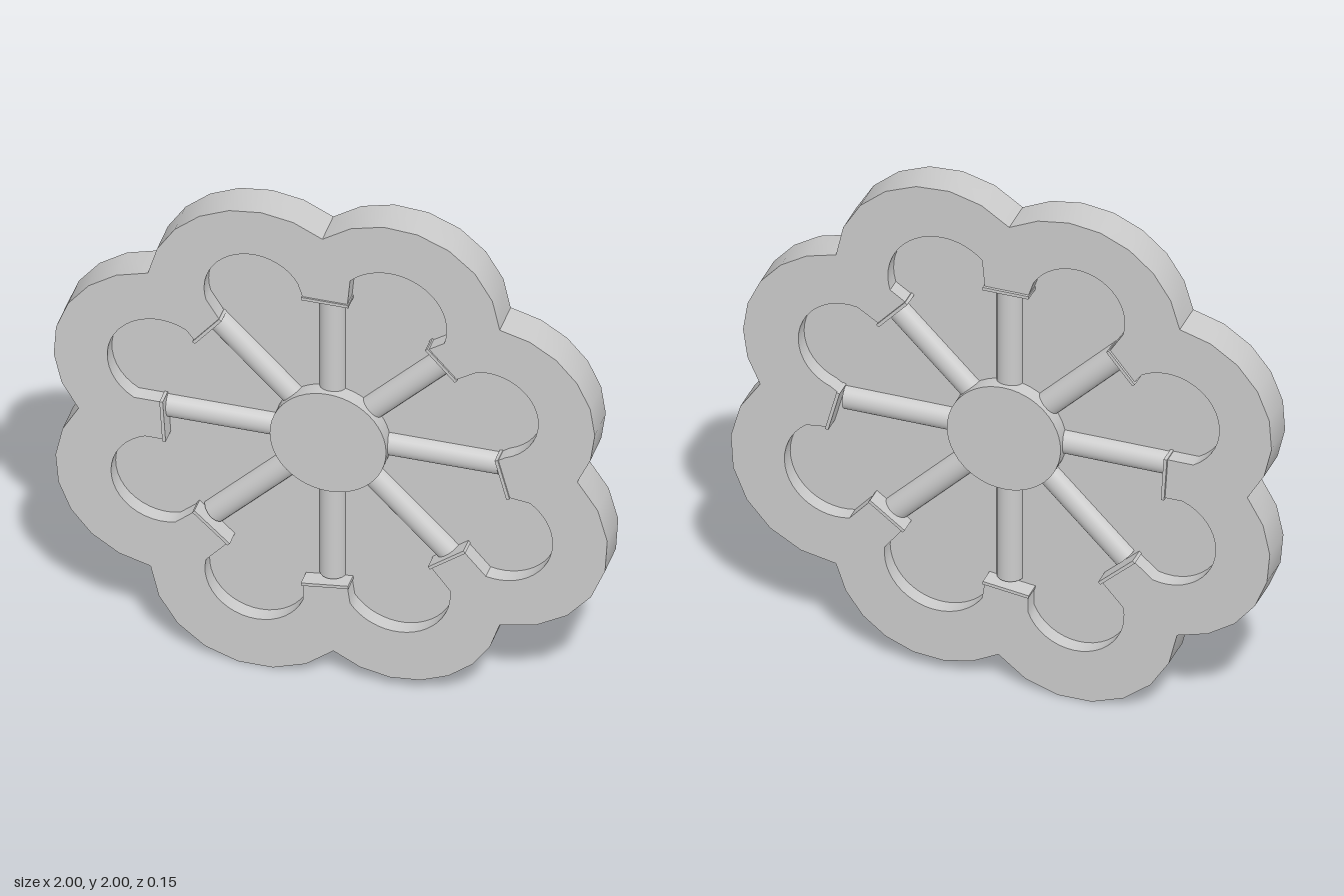
import * as THREE from 'three';
import { toCreasedNormals } from 'three/addons/utils/BufferGeometryUtils.js';

const HALF = 0.068;                       // half thickness of the rim
const HUB = new THREE.Vector2(-0.01, 1.02);
const SPOKE_LENGTH = 0.605;
const V = (x, y) => new THREE.Vector2(x, y);

// Rim lobes, clockwise from the top: notch x, y, then a point on the crest
const LOBES = [
  [-0.03, 1.90, 0.40, 1.96], [0.61, 1.64, 0.88, 1.48],
  [0.89, 1.04, 0.97, 0.61], [0.61, 0.36, 0.36, 0.07],
  [0.01, 0.12, -0.40, 0.02], [-0.65, 0.35, -0.96, 0.58],
  [-0.91, 0.98, -0.985, 1.34], [-0.66, 1.62, -0.43, 1.93],
];

// Pockets, clockwise: tab corner, arc start, arc middle, arc end, next tab corner
const POCKETS = [
  [0.06, 1.63, 0.07, 1.74, 0.35, 1.75, 0.41, 1.54, 0.35, 1.50],
  [0.45, 1.39, 0.53, 1.44, 0.72, 1.36, 0.63, 1.09, 0.60, 1.07],
  [0.64, 0.92, 0.72, 0.91, 0.80, 0.74, 0.56, 0.56, 0.48, 0.65],
  [0.36, 0.56, 0.43, 0.47, 0.35, 0.29, 0.07, 0.34, 0.06, 0.41],
  [-0.10, 0.39, -0.10, 0.32, -0.39, 0.245, -0.45, 0.42, -0.37, 0.51],
  [-0.49, 0.62, -0.56, 0.56, -0.78, 0.67, -0.67, 0.91, -0.60, 0.91],
  [-0.61, 1.07, -0.71, 1.07, -0.76, 1.36, -0.52, 1.40, -0.49, 1.36],
  [-0.40, 1.47, -0.45, 1.55, -0.39, 1.74, -0.12, 1.69, -0.10, 1.63],
];

// Clockwise circular arc through three points
function arc(a, m, b, segments) {
  const d = 2 * (a.x * (m.y - b.y) + m.x * (b.y - a.y) + b.x * (a.y - m.y));
  const A = a.lengthSq(), M = m.lengthSq(), B = b.lengthSq();
  const c = V((A * (m.y - b.y) + M * (b.y - a.y) + B * (a.y - m.y)) / d,
    (A * (b.x - m.x) + M * (a.x - b.x) + B * (m.x - a.x)) / d);
  const r = c.distanceTo(a);
  const start = Math.atan2(a.y - c.y, a.x - c.x);
  let end = Math.atan2(b.y - c.y, b.x - c.x);
  if (end > start) end -= 2 * Math.PI;
  return Array.from({ length: segments + 1 }, (_, i) => {
    const t = start + (end - start) * i / segments;
    return V(c.x + r * Math.cos(t), c.y + r * Math.sin(t));
  });
}

// Extrusion centred on z = 0, smooth along its curves
function slab(shape, half) {
  const geometry = new THREE.ExtrudeGeometry(shape, { depth: 2 * half, bevelEnabled: false });
  return toCreasedNormals(geometry.translate(0, 0, -half), 0.6);
}

export function createModel() {
  const group = new THREE.Group();
  const material = new THREE.MeshStandardMaterial({ color: 0xcccccc });
  const add = (name, geometry) => {
    const mesh = new THREE.Mesh(geometry, material);
    mesh.name = name;
    group.add(mesh);
    return mesh;
  };

  const outer = LOBES.flatMap(([x, y, cx, cy], i) => {
    const next = LOBES[(i + 1) % LOBES.length];
    return arc(V(x, y), V(cx, cy), V(next[0], next[1]), 7).slice(0, -1);
  });
  const inner = POCKETS.flatMap(p => [
    V(p[0], p[1]),
    ...arc(V(p[2], p[3]), V(p[4], p[5]), V(p[6], p[7]), 20),
    V(p[8], p[9]),
  ]);

  // Scalloped rim; the opening winds against the outline so its walls face inward
  const rim = new THREE.Shape(outer);
  rim.holes.push(new THREE.Path([...inner].reverse()));
  add('rim', slab(rim, HALF));

  // Thin web closing the opening at mid depth
  add('web', slab(new THREE.Shape(inner), 0.01));

  // Round hub
  const hub = add('hub', new THREE.CylinderGeometry(0.21, 0.21, 2 * HALF, 48).rotateX(Math.PI / 2));
  hub.position.set(HUB.x, HUB.y, 0);

  POCKETS.forEach((p, i) => {
    // Spokes every 45 degrees
    const angle = i * Math.PI / 4;
    const spoke = add('spoke', new THREE.CylinderGeometry(0.048, 0.048, SPOKE_LENGTH, 32));
    spoke.position.set(HUB.x + Math.cos(angle) * SPOKE_LENGTH / 2,
      HUB.y + Math.sin(angle) * SPOKE_LENGTH / 2, 0);
    spoke.rotation.z = angle - Math.PI / 2;

    // Plate across the rim's tab at each spoke end
    const next = POCKETS[(i + 1) % POCKETS.length];
    const a = V(p[8], p[9]), b = V(next[0], next[1]);
    const plate = add('spokeEndPlate', new THREE.BoxGeometry(a.distanceTo(b) + 0.01, 0.012, 0.152));
    plate.position.set((a.x + b.x) / 2, (a.y + b.y) / 2, -0.002);
    plate.rotation.z = b.clone().sub(a).angle();
  });

  return group;
}
